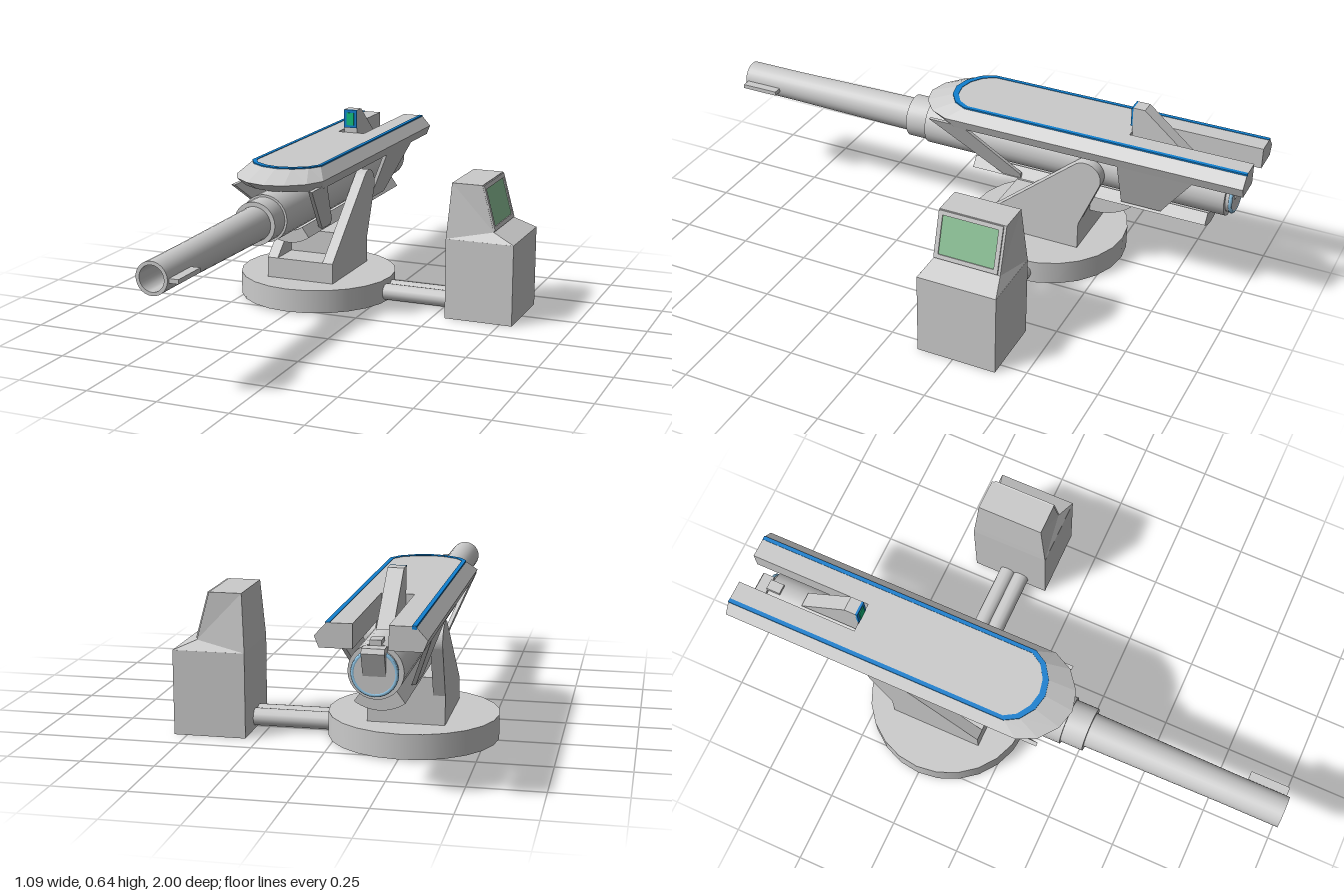
import * as THREE from 'three';
import { toCreasedNormals } from 'three/addons/utils/BufferGeometryUtils.js';

const CX = -0.252, AXIS_Y = 0.395; // gun centre line
const mat = (color) => new THREE.MeshStandardMaterial({ color, side: THREE.DoubleSide });
const grey = mat(0xcccccc), blue = mat(0x1080d0), paleBlue = mat(0x90c8ea);
const green = mat(0x10c080), glass = mat(0x8fc499);

export function createModel() {
  const model = new THREE.Group();
  const add = (name, geo, material = grey, x = 0, y = 0, z = 0) => {
    const mesh = new THREE.Mesh(geo, material);
    mesh.name = name;
    mesh.position.set(x, y, z);
    model.add(mesh);
    return mesh;
  };
  // box given by its limits on each axis
  const box = (name, [x0, x1], [y0, y1], [z0, z1], material) =>
    add(name, new THREE.BoxGeometry(x1 - x0, y1 - y0, z1 - z0), material,
      (x0 + x1) / 2, (y0 + y1) / 2, (z0 + z1) / 2);
  const polygon = (pts) => new THREE.Shape(pts.map(([a, b]) => new THREE.Vector2(a, b)));
  // side profile (z, y) given thickness along x, centred on x = 0
  const sideSlab = (shape, width) => new THREE.ExtrudeGeometry(shape,
    { depth: width, bevelEnabled: false, curveSegments: 12 })
    .translate(0, 0, -width / 2).rotateY(-Math.PI / 2);

  // base disc and twin conduits
  add('baseDisc', new THREE.CylinderGeometry(0.29, 0.29, 0.085, 24), grey, -0.255, 0.0475, -0.25);
  for (const z of [-0.274, -0.221])
    add('conduit', new THREE.CylinderGeometry(0.031, 0.031, 0.3, 12).rotateZ(Math.PI / 2),
      grey, 0.155, 0.041, z);

  // console: cabinet, tapered head, framed screen
  box('consoleCabinet', [0.295, 0.545], [0, 0.295], [-0.405, -0.12]);
  const head = new THREE.ExtrudeGeometry(polygon([[0.295, 0.295], [0.545, 0.295], [0.465, 0.33],
    [0.42, 0.495], [0.308, 0.495], [0.297, 0.33]]), { depth: 2, bevelEnabled: false }).translate(0, 0, -1);
  const hp = head.attributes.position;
  for (let i = 0; i < hp.count; i++) hp.setZ(i, hp.getZ(i) * (hp.getY(i) < 0.3 ? 0.142 : 0.12));
  head.computeVertexNormals();
  add('consoleHead', head, grey, 0, 0, -0.2625);
  const screen = new THREE.Group();
  screen.name = 'consoleScreen';
  screen.position.set(0.4425, 0.4125, -0.2585);
  screen.rotation.z = Math.atan2(0.045, 0.165);
  const frame = polygon([[-0.115, -0.083], [0.115, -0.083], [0.115, 0.083], [-0.115, 0.083]]);
  frame.holes.push(polygon([[-0.1, -0.068], [-0.1, 0.068], [0.1, 0.068], [0.1, -0.068]]));
  const rim = new THREE.Mesh(sideSlab(frame, 0.012), grey);
  rim.name = 'screenFrame';
  const pane = new THREE.Mesh(new THREE.BoxGeometry(0.004, 0.138, 0.202), glass);
  pane.name = 'screenGlass';
  screen.add(rim, pane);
  model.add(screen);

  // pedestal and yoke
  box('pedestal', [-0.385, -0.125], [0.088, 0.165], [-0.415, -0.08]);
  box('pedestalBlock', [-0.346, -0.164], [0.16, 0.25], [-0.415, -0.2]);
  const yoke = polygon([[-0.415, 0.088], [-0.08, 0.088], [-0.08, 0.165]]);
  yoke.lineTo(-0.394, 0.433);
  yoke.absarc(-0.43, 0.385, 0.06, 0.93, 3.5, false);
  yoke.lineTo(-0.415, 0.19);
  for (const s of [-1, 1]) add('yokeArm', sideSlab(yoke, 0.04), grey, -0.255 + s * 0.11);
  add('trunnion', new THREE.CylinderGeometry(0.04, 0.04, 0.23, 16).rotateZ(Math.PI / 2),
    grey, -0.255, 0.39, -0.43);

  // elevating sector under the cradle
  const sector = new THREE.Shape();
  sector.absarc(-0.43, 0.39, 0.205, Math.PI + 0.65, 2 * Math.PI - 0.65, false);
  add('elevationSector', sideSlab(sector, 0.03), grey, CX);

  // curved cradle trough below the barrel
  const trough = new THREE.Shape();
  trough.absarc(0, 0, 0.135, -Math.PI / 2 - 0.62, -Math.PI / 2 + 0.62, false);
  trough.absarc(0, 0, 0.09, -Math.PI / 2 + 0.62, -Math.PI / 2 - 0.62, true);
  add('cradleTrough', new THREE.ExtrudeGeometry(trough,
    { depth: 0.88, bevelEnabled: false, curveSegments: 10 }), grey, CX, AXIS_Y, -0.86);

  // hollow barrel with stepped sleeve
  const profile = [[0, -0.92], [0.085, -0.92], [0.085, 0.215], [0.077, 0.215], [0.077, 0.295],
    [0.061, 0.295], [0.055, 0.8], [0.055, 1], [0.043, 1], [0.043, 0.3], [0, 0.3]];
  add('barrel', toCreasedNormals(new THREE.LatheGeometry(
    profile.map(([r, z]) => new THREE.Vector2(r, z)), 28).rotateX(Math.PI / 2), 0.6), grey, CX, AXIS_Y);
  box('muzzlePlate', [-0.202, -0.165], [0.384, 0.399], [0.85, 0.99]);

  // breech cap, coloured ring and wedge handle
  add('breechCap', new THREE.CylinderGeometry(0.07, 0.07, 0.025, 24).rotateX(Math.PI / 2),
    grey, CX, AXIS_Y, -0.93);
  add('breechRing', new THREE.TorusGeometry(0.066, 0.007, 8, 28), paleBlue, CX, AXIS_Y, -0.937);
  add('breechHandle', sideSlab(polygon([[-0.94, 0.38], [-0.925, 0.38], [-0.925, 0.475],
    [-0.965, 0.475], [-0.972, 0.46]]), 0.07), grey, CX);
  box('breechCatch', [CX - 0.018, CX + 0.018], [0.46, 0.492], [-0.925, -0.875]);

  // hood plan: half width h, nose from z0 to z1
  const plan = (h, z0, z1) => {
    const half = [[1, 0], [0.8, 0.5], [0.42, 0.87]].map(([a, b]) => [a * h, z0 + b * (z1 - z0)]);
    return [[h, -1], ...half, [0, z1], ...half.map(([x, z]) => [-x, z]).reverse(), [-h, -1]];
  };
  const notch = [[-0.053, -1], [-0.053, -0.56], [0.053, -0.56], [0.053, -1]];
  const layers = [[0.48, 0.153, 0.06, 0.16], [0.515, 0.167, 0.09, 0.225], [0.555, 0.131, 0.03, 0.12]]
    .map(([y, ...p]) => ({ y, pts: [...plan(...p), ...notch] }));
  const verts = [];
  const put = (layer, i) => verts.push(layer.pts[i][0], layer.y, layer.pts[i][1]);
  layers.slice(1).forEach((up, k) => {
    const low = layers[k], n = up.pts.length;
    for (let i = 0; i < n; i++) {
      const j = (i + 1) % n;
      put(low, i); put(up, j); put(low, j);
      put(low, i); put(up, i); put(up, j);
    }
  });
  [layers[0], layers[2]].forEach((layer, top) => {
    const flat = layer.pts.map(([x, z]) => new THREE.Vector2(x, z));
    for (const [a, b, c] of THREE.ShapeUtils.triangulateShape(flat, [])) {
      const [p, q, r] = [flat[a], flat[b], flat[c]];
      const turn = (q.x - p.x) * (r.y - p.y) - (q.y - p.y) * (r.x - p.x) > 0;
      (turn === (top === 0) ? [a, b, c] : [a, c, b]).forEach((i) => put(layer, i));
    }
  });
  const hood = new THREE.BufferGeometry();
  hood.setAttribute('position', new THREE.Float32BufferAttribute(verts, 3));
  hood.computeVertexNormals();
  add('hood', hood, grey, CX);

  // coloured trim along the hood edge
  const band = polygon([...plan(0.134, 0.032, 0.125), ...plan(0.12, 0.024, 0.103).reverse()]);
  add('hoodTrim', new THREE.ExtrudeGeometry(band, { depth: 0.011, bevelEnabled: false })
    .rotateX(Math.PI / 2), blue, CX, 0.557);

  // side panels leaning in toward the cradle
  const panels = {
    frontStrut: [[0.16, 0.49], [-0.1, 0.29], [-0.17, 0.29], [-0.17, 0.31], [0.03, 0.49]],
    rearPanel: [[-0.555, 0.49], [-0.83, 0.49], [-0.7, 0.3], [-0.555, 0.3]],
  };
  for (const [name, pts] of Object.entries(panels))
    for (const s of [-1, 1]) {
      const geo = sideSlab(polygon(pts), 0.014);
      const p = geo.attributes.position;
      for (let i = 0; i < p.count; i++)
        p.setX(i, p.getX(i) + s * (0.076 + 0.38 * (p.getY(i) - 0.3)));
      geo.computeVertexNormals();
      add(name, geo, grey, CX);
    }

  // sight fin with framed display
  add('sight', sideSlab(polygon([[-0.785, 0.49], [-0.558, 0.49], [-0.558, 0.645],
    [-0.6, 0.645]]), 0.052), grey, CX);
  box('sightFrame', [CX - 0.026, CX + 0.026], [0.575, 0.645], [-0.56, -0.552], blue);
  box('sightDisplay', [CX - 0.015, CX + 0.015], [0.585, 0.634], [-0.556, -0.549], green);
  return model;
}
